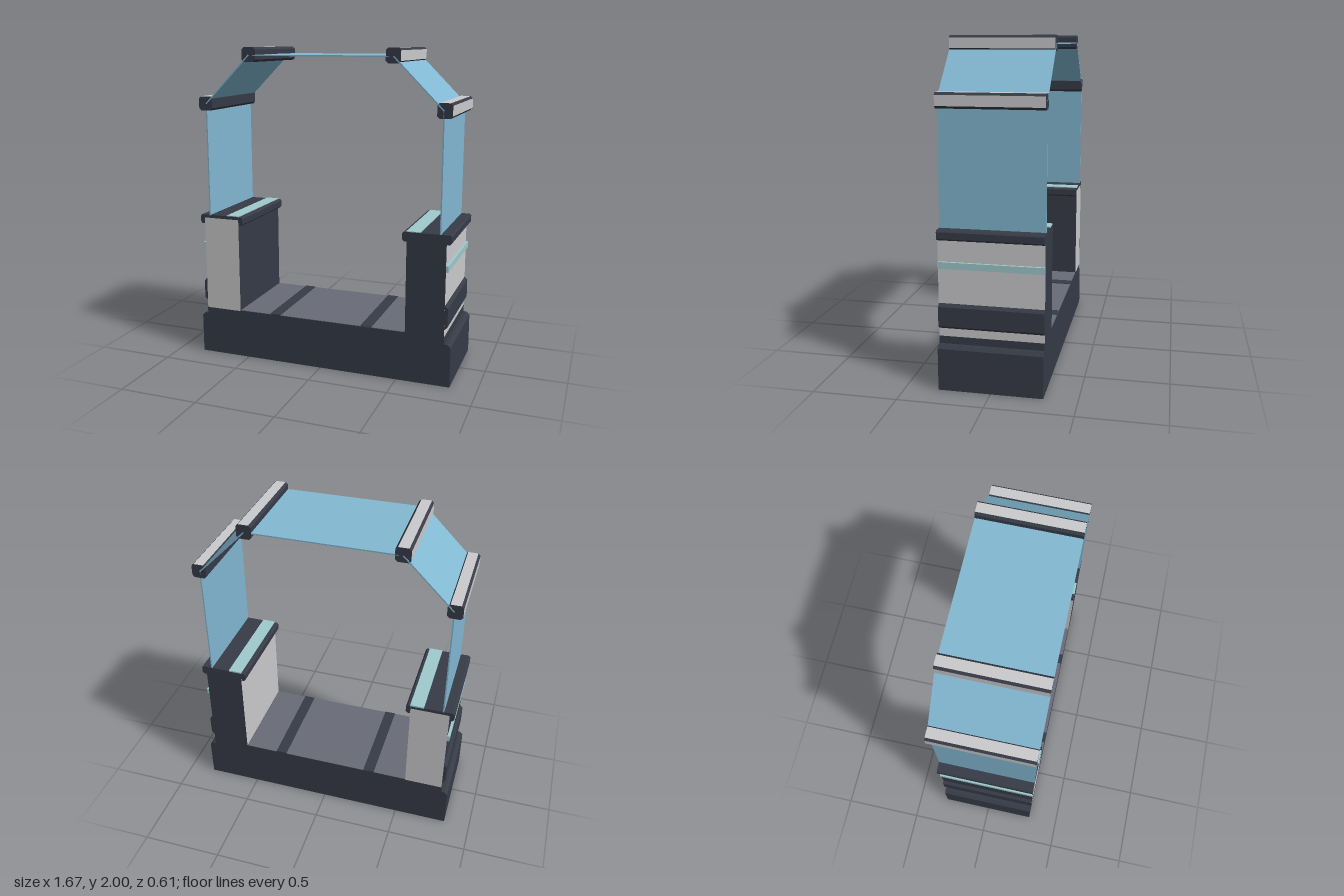
import * as THREE from 'three';

const mat = (name, color) => {
  const m = new THREE.MeshStandardMaterial({ color });
  m.name = name;
  return m;
};

export function createModel() {
  const model = new THREE.Group();
  const D = 0.61; // corridor depth
  const dark = mat('dark metal', 0x363b47);
  const light = mat('light panel', 0xcbcbcd);
  const glass = mat('blue glass', 0x82b8d2);
  const glow = mat('pale teal strip', 0x9fcacc);
  const floorGrey = mat('floor grey', 0x686c76);

  const add = (name, geo, material) => {
    const m = new THREE.Mesh(geo, material);
    m.name = name;
    model.add(m);
    return m;
  };
  // Box from x and y limits, running along z
  const slab = (name, x0, x1, y0, y1, material, depth = D) => {
    const m = add(name, new THREE.BoxGeometry(Math.abs(x1 - x0), y1 - y0, depth), material);
    m.position.set((x0 + x1) / 2, (y0 + y1) / 2, 0);
    return m;
  };
  // Outline in x and y extruded along z
  const prism = (points, depth = D) => {
    const shape = new THREE.Shape(points.map(p => new THREE.Vector2(...p)));
    return new THREE.ExtrudeGeometry(shape, { depth, bevelEnabled: false }).translate(0, 0, -depth / 2);
  };
  // Rectangle with cut corners
  const cutRect = (x0, x1, y0, y1, c) => [
    [x0 + c, y0], [x1 - c, y0], [x1, y0 + c], [x1, y1 - c],
    [x1 - c, y1], [x0 + c, y1], [x0, y1 - c], [x0, y0 + c]];

  // Base with shouldered ends and floor
  add('base', prism([
    [-0.835, 0], [0.835, 0], [0.835, 0.25], [0.815, 0.27], [0.795, 0.27], [0.795, 0.314],
    [-0.795, 0.314], [-0.795, 0.27], [-0.815, 0.27], [-0.835, 0.25]]), dark);
  slab('floorPanel', -0.55, 0.55, 0.312, 0.317, floorGrey);
  for (const x of [-0.305, 0.305]) slab('floorStrip', x - 0.035, x + 0.035, 0.312, 0.321, dark);

  for (const s of [-1, 1]) {
    const side = s > 0 ? 'left' : 'right';
    // Low wall: light and dark faces swap between the two sides
    const faceX = s > 0 ? light : dark;
    const faceZ = s > 0 ? dark : light;
    slab(side + 'Wall', s * 0.553, s * 0.793, 0.31, 0.92,
      [faceX, faceX, dark, dark, faceZ, faceZ], D + 0.002);

    // Coping, bumper rail and light strips
    const xs = [s * 0.525, s * 0.822].sort((a, b) => a - b);
    add(side + 'Coping', prism(cutRect(xs[0], xs[1], 0.882, 0.94, 0.01)), dark);
    slab(side + 'CopingLight', s * 0.55, s * 0.635, 0.936, 0.945, glow);
    slab(side + 'SideLight', s * 0.785, s * 0.808, 0.716, 0.755, glow);
    const rail = [[0.78, 0.362], [0.795, 0.362], [0.812, 0.378], [0.812, 0.492], [0.795, 0.51], [0.78, 0.51]];
    const railPts = rail.map(([x, y]) => [s * x, y]);
    add(side + 'BumperRail', prism(railPts), dark);

    // Chamfered roof beams: dark ends, corners and inner faces
    for (const [cx, cy] of [[0.76, 1.654], [0.455, 1.956]]) {
      const geo = prism(cutRect(s * cx - 0.045, s * cx + 0.045, cy - 0.044, cy + 0.044, 0.014));
      const n = geo.attributes.normal;
      geo.clearGroups();
      for (let i = 0; i < n.count; i += 3) {
        const pale = Math.abs(n.getY(i)) > 0.9 || s * n.getX(i) > 0.9;
        geo.addGroup(i, 3, pale ? 1 : 0);
      }
      add(side + 'RoofBeam', geo, [dark, light]);
    }

    // Upright and sloping windows
    slab(side + 'Window', s * 0.75, s * 0.758, 0.935, 1.65, glass);
    const slope = add(side + 'SlopedWindow',
      new THREE.BoxGeometry(Math.hypot(0.3, 0.3), 0.008, D + 0.002), glass);
    slope.position.set(s * 0.605, 1.803, 0);
    slope.rotation.z = -s * Math.PI / 4;
  }

  // Roof window
  slab('roofWindow', -0.43, 0.43, 1.948, 1.956, glass);
  return model;
}
